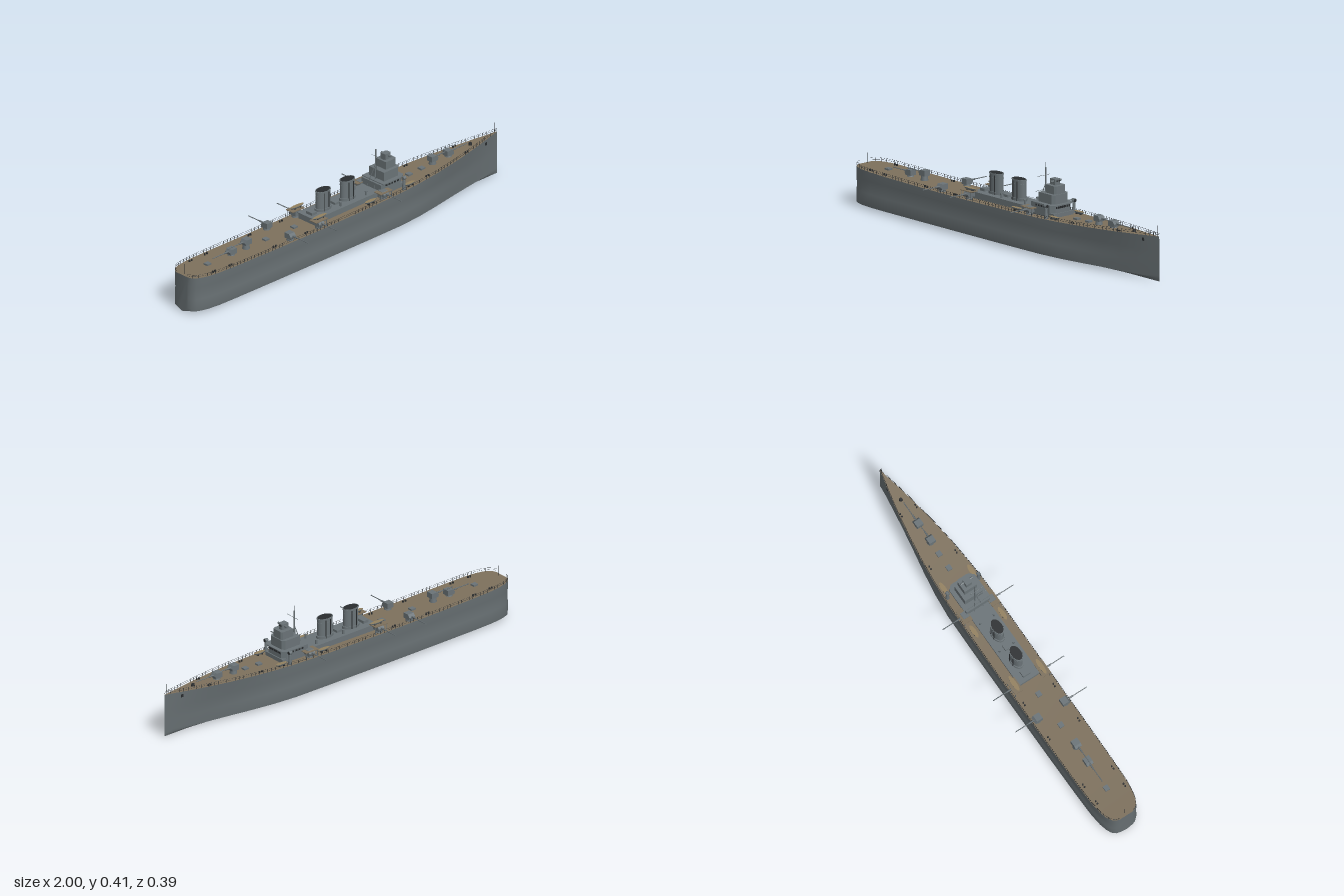
import * as THREE from 'three';
import { mergeGeometries, toCreasedNormals } from 'three/addons/utils/BufferGeometryUtils.js';

const mat = (name, color, side = THREE.FrontSide) => {
  const m = new THREE.MeshStandardMaterial({ color, side });
  m.name = name;
  return m;
};

export function createModel() {
  const ship = new THREE.Group();
  ship.name = 'warship';
  const hullGrey = mat('hull grey', 0x666e71);
  const grey = mat('superstructure grey', 0x6a7377);
  const deckTan = mat('deck planking', 0x7d705c);
  const boatTan = mat('boat wood', 0x92805f);
  const dark = mat('dark fittings', 0x2a2d2f);

  const add = (name, geo, m, x = 0, y = 0, z = 0, parent = ship) => {
    const mesh = new THREE.Mesh(geo, m);
    mesh.name = name;
    mesh.position.set(x, y, z);
    parent.add(mesh);
    return mesh;
  };
  const box = (name, w, h, d, m, x, y, z, parent) =>
    add(name, new THREE.BoxGeometry(w, h, d), m, x, y + h / 2, z, parent);
  const cyl = (name, r1, r2, h, m, x, y, z, parent, n = 16) =>
    add(name, new THREE.CylinderGeometry(r1, r2, h, n), m, x, y + h / 2, z, parent);
  // Thin round bar between two points
  const bar = (a, b, r) => {
    const A = new THREE.Vector3(...a), B = new THREE.Vector3(...b);
    const d = B.clone().sub(A);
    const g = new THREE.CylinderGeometry(r, r, d.length(), 5);
    g.applyQuaternion(new THREE.Quaternion().setFromUnitVectors(new THREE.Vector3(0, 1, 0), d.normalize()));
    return g.translate((A.x + B.x) / 2, (A.y + B.y) / 2, (A.z + B.z) / 2);
  };

  // Hull lines: [x, half beam] and sheer
  const plan = [[-1, 0.035], [-0.995, 0.052], [-0.98, 0.069], [-0.955, 0.081], [-0.92, 0.09], [-0.86, 0.097],
    [-0.75, 0.1], [-0.5, 0.102], [-0.2, 0.103], [0.1, 0.103], [0.3, 0.101], [0.42, 0.094], [0.54, 0.083],
    [0.66, 0.067], [0.77, 0.049], [0.87, 0.029], [0.95, 0.011], [1, 0.0008]];
  const interp = (t, x) => {
    let i = 1;
    while (i < t.length - 1 && t[i][0] < x) i++;
    const [a, b] = [t[i - 1], t[i]];
    return a[1] + (b[1] - a[1]) * (x - a[0]) / (b[0] - a[0]);
  };
  const beam = x => interp(plan, x);
  const sheer = x => x < -0.3 ? 0.174 + 0.008 * ((x + 0.3) / 0.7) ** 2
    : 0.174 + 0.036 * ((x + 0.3) / 1.3) ** 2;
  const fineness = x => 1 - 0.42 * THREE.MathUtils.smoothstep(x, 0.3, 0.95);

  // Hull lofted from bulged cross-sections
  const half = (x, w) => {
    const f = fineness(x), s = sheer(x);
    return [[w, s], [w * (0.975 + 0.025 * f) * (0.5 + 0.5 * f), 0.135], [w * 0.955 * (0.3 + 0.7 * f), 0.095],
      [w * (0.2 + 0.8 * f), 0.075], [w * f, 0.025], [w * 0.98 * f, 0.014], [w * 0.5 * f, 0.006]];
  };
  const pos = [], idx = [], n = 15;
  plan.forEach(([x, w]) => {
    const h = half(x, w);
    h.forEach(([z, y]) => pos.push(x, y, z));
    pos.push(x, 0, 0);
    h.reverse().forEach(([z, y]) => pos.push(x, y, -z));
  });
  for (let i = 0; i < plan.length - 1; i++) for (let j = 0; j < n - 1; j++) {
    const a = i * n + j, b = a + n;
    idx.push(a, a + 1, b, b, a + 1, b + 1);
  }
  for (let j = 1; j < n - 1; j++) idx.push(0, j + 1, j);
  const hull = new THREE.BufferGeometry();
  hull.setAttribute('position', new THREE.Float32BufferAttribute(pos, 3));
  hull.setIndex(idx);
  add('hull', toCreasedNormals(hull, 0.6), hullGrey);

  // Planked deck following the sheer
  const dp = [], di = [];
  plan.forEach(([x, w], i) => {
    dp.push(x, sheer(x), w, x, sheer(x), -w);
    const k = i * 2;
    if (i < plan.length - 1) di.push(k, k + 2, k + 1, k + 2, k + 3, k + 1);
  });
  const deck = new THREE.BufferGeometry();
  deck.setAttribute('position', new THREE.Float32BufferAttribute(dp, 3));
  deck.setIndex(di);
  deck.computeVertexNormals();
  add('deck', deck, deckTan);

  // Guard rails along both deck edges
  const rails = [];
  for (const s of [1, -1]) {
    for (let x = -0.99; x < 0.99; x += 0.022)
      rails.push(new THREE.BoxGeometry(0.0011, 0.016, 0.0011).translate(x, sheer(x) + 0.008, s * (beam(x) - 0.001)));
    for (let i = 0; i < plan.length - 1; i++) for (const h of [0.008, 0.016]) {
      const p = k => [plan[k][0], sheer(plan[k][0]) + h, s * Math.max(0, plan[k][1] - 0.001)];
      rails.push(bar(p(i), p(i + 1), 0.0005));
    }
  }
  add('guardRails', mergeGeometries(rails), dark);

  // Deckhouse between the funnels and the bridge
  box('deckhouse', 0.42, 0.031, 0.104, grey, 0.0, 0.172, 0);
  box('deckhouseRoof', 0.43, 0.004, 0.112, grey, 0.0, 0.202, 0);
  box('bridgeHouse', 0.16, 0.03, 0.12, grey, 0.27, 0.172, 0);

  // Bridge tower with bevelled front corners
  const tier = (name, x0, x1, w, c, y0, y1) => {
    const s = new THREE.Shape([[x0, -w], [x1 - c, -w], [x1, -w + c], [x1, w - c], [x1 - c, w], [x0, w]]
      .map(p => new THREE.Vector2(...p)));
    const g = new THREE.ExtrudeGeometry(s, { depth: y1 - y0, bevelEnabled: false });
    add(name, g.rotateX(-Math.PI / 2), grey, 0, y0, 0);
  };
  tier('bridgeBase', 0.2, 0.345, 0.064, 0.02, 0.2, 0.237);
  tier('bridgeWingDeck', 0.21, 0.352, 0.07, 0.02, 0.237, 0.241);
  tier('bridgeMiddle', 0.235, 0.335, 0.049, 0.012, 0.241, 0.285);
  tier('bridgeUpper', 0.262, 0.33, 0.033, 0.008, 0.285, 0.323);
  tier('directorTower', 0.275, 0.312, 0.015, 0.005, 0.323, 0.351);
  for (let i = -3; i <= 3; i++) box('bridgeWindow', 0.002, 0.01, 0.009, dark, 0.3455, 0.223, i * 0.0125);
  for (const s of [1, -1]) for (let i = 0; i < 5; i++)
    box('sideWindow', 0.01, 0.008, 0.002, dark, 0.235 + i * 0.018, 0.224, s * 0.0645);
  const finder = cyl('rangefinder', 0.005, 0.005, 0.064, grey, 0.297, 0.308, 0);
  finder.rotation.x = Math.PI / 2;
  for (const z of [-0.007, 0, 0.007]) box('directorWindow', 0.002, 0.006, 0.005, dark, 0.3125, 0.339, z);

  // Tripod mast with yards
  add('mast', mergeGeometries([bar([0.228, 0.2, 0], [0.228, 0.39, 0], 0.0035),
    bar([0.228, 0.39, 0], [0.228, 0.415, 0], 0.0009), bar([0.195, 0.2, 0.025], [0.228, 0.315, 0], 0.002),
    bar([0.195, 0.2, -0.025], [0.228, 0.315, 0], 0.002), bar([0.228, 0.355, -0.026], [0.228, 0.355, 0.052], 0.001),
    bar([0.228, 0.288, 0], [0.228, 0.288, 0.062], 0.001)]), grey);

  // Funnels: oval casing, dark mouth, rim bands and steam pipes
  for (const x of [-0.106, 0.048]) {
    const f = new THREE.Group();
    f.name = 'funnel';
    f.position.set(x, 0, 0);
    ship.add(f);
    const oval = (name, r, h, y, m) => cyl(name, r, r, h, m, 0, y, 0, f, 28).scale.set(1, 1, 0.62);
    oval('funnelBase', 0.046, 0.014, 0.204, grey);
    oval('funnelCasing', 0.04, 0.1, 0.204, grey);
    oval('funnelRim', 0.043, 0.004, 0.299, grey);
    oval('funnelBand', 0.0412, 0.003, 0.28, grey);
    oval('funnelMouth', 0.038, 0.002, 0.3025, dark);
    for (const s of [1, -1]) for (const px of [-0.014, 0.014])
      cyl('steamPipe', 0.0022, 0.0022, 0.09, dark, px, 0.206, s * 0.0255, f, 6);
  }

  // Single guns with sloped shields; the barrel points along local +x
  const gun = (x, y, z, turn, raise = 0) => {
    const g = new THREE.Group();
    g.name = 'gun';
    g.position.set(x, y, z);
    g.rotation.y = turn;
    ship.add(g);
    cyl('gunPedestal', 0.015, 0.018, 0.01 + raise, grey, 0, -0.002, 0, g);
    const s = new THREE.Shape([[-0.02, 0], [0.018, 0], [0.021, 0.012], [0.011, 0.026], [-0.02, 0.026]]
      .map(p => new THREE.Vector2(...p)));
    add('gunShield', new THREE.ExtrudeGeometry(s, { depth: 0.034, bevelEnabled: false }), grey, 0, 0.007 + raise, -0.017, g);
    add('gunBarrel', mergeGeometries([bar([0.01, 0.021 + raise, 0], [0.045, 0.021 + raise, 0], 0.0042),
      bar([0.04, 0.021 + raise, 0], [0.118, 0.021 + raise, 0], 0.0023)]), grey, 0, 0, 0, g);
  };
  gun(0.69, sheer(0.69), 0, 0);
  gun(0.59, sheer(0.59), 0, 0, 0.01);
  gun(-0.69, sheer(-0.69), 0, Math.PI);
  gun(-0.595, sheer(-0.595), 0, Math.PI, 0.016);

  for (const s of [1, -1]) {
    // Broadside guns, the inner pairs under planked wing platforms
    for (const x of [-0.39, -0.208, 0.203]) gun(x, sheer(x), s * 0.076, -s * Math.PI / 2, 0.004);
    for (const x of [-0.208, 0.203]) {
      box('wingPlatform', 0.075, 0.003, 0.045, deckTan, x, 0.212, s * 0.076);
      for (const dx of [-0.033, 0.033]) box('platformPost', 0.003, 0.04, 0.003, grey, x + dx, 0.173, s * 0.094);
    }
    // Boats on cradles
    for (const [x, z, l, y] of [[-0.2, 0.074, 0.042, 0.227], [0.37, 0.077, 0.032, 0.198], [0.12, 0.078, 0.035, 0.195]]) {
      const hullBoat = new THREE.SphereGeometry(1, 16, 8, 0, Math.PI * 2, Math.PI / 2, Math.PI / 2);
      add('boatHull', hullBoat, grey, x, y, s * z).scale.set(l, 0.012, 0.011);
      add('boatDeck', new THREE.CircleGeometry(1, 16).rotateX(-Math.PI / 2), boatTan, x, y, s * z).scale.set(l, 1, 0.011);
      for (const dx of [-0.4, 0.4]) box('boatCradle', 0.004, 0.014, 0.016, dark, x + dx * l, y - 0.021, s * z);
    }
    // Searchlights beside the bridge
    cyl('searchlightStand', 0.006, 0.01, 0.056, grey, 0.325, 0.174, s * 0.085);
    const lamp = cyl('searchlight', 0.009, 0.009, 0.016, grey, 0.325, 0.232, s * 0.085);
    lamp.rotation.z = Math.PI / 2;
    const lens = cyl('searchlightLens', 0.0075, 0.0075, 0.001, dark, 0.3335, 0.2395, s * 0.085);
    lens.rotation.z = Math.PI / 2;
    // Small deck fittings: vents, bollards, hatches and anchors
    for (const x of [-0.88, -0.78, -0.5, -0.3, 0.48, 0.76]) {
      cyl('bollard', 0.004, 0.004, 0.008, dark, x, sheer(x), s * beam(x) * 0.8, ship, 8);
      cyl('bollard', 0.004, 0.004, 0.008, dark, x + 0.014, sheer(x), s * beam(x) * 0.8, ship, 8);
    }
    for (const x of [-0.03, 0.13]) cyl('ventilator', 0.006, 0.005, 0.022, grey, x, 0.205, s * 0.038, ship, 10);
    box('anchor', 0.012, 0.014, 0.006, dark, 0.91, 0.178, s * (beam(0.91) - 0.002));
  }
  for (const x of [-0.84, -0.47, -0.29, 0.44, 0.52]) box('hatch', 0.026, 0.009, 0.024, grey, x, sheer(x) - 0.001, 0);
  box('skylight', 0.03, 0.012, 0.03, grey, -0.028, 0.205, 0);
  box('aftLocker', 0.03, 0.014, 0.04, grey, -0.18, 0.205, 0);
  cyl('capstan', 0.007, 0.009, 0.012, dark, 0.83, sheer(0.83), 0);

  // Flagstaffs at bow and stern
  for (const x of [-0.985, 0.985]) cyl('flagstaff', 0.0009, 0.0009, 0.05, dark, x, sheer(x), 0, ship, 6);
  return ship;
}
